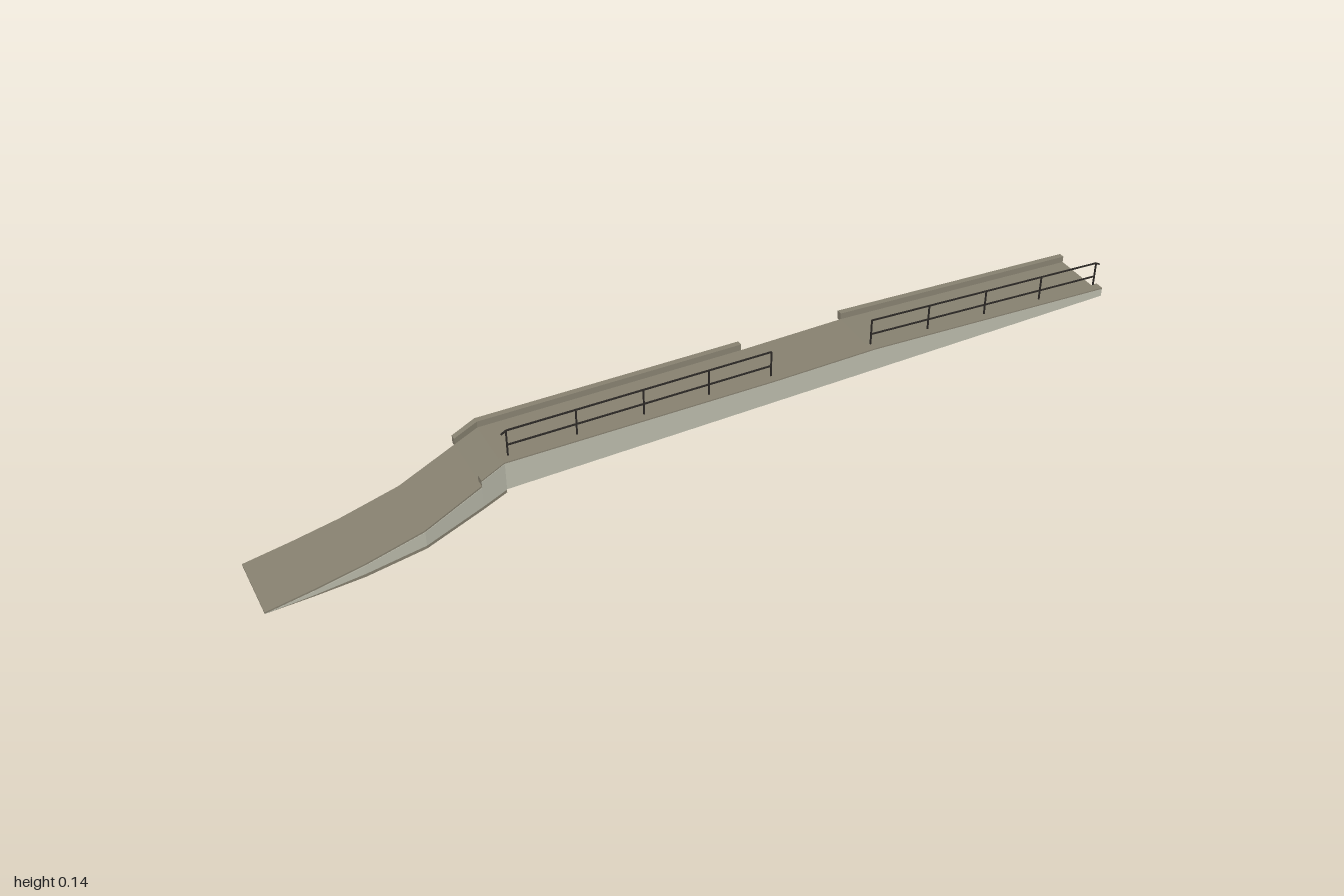
import * as THREE from 'three';

const concrete = new THREE.MeshStandardMaterial({ color: 0xb9b9aa, name: 'concrete' });
const paving = new THREE.MeshStandardMaterial({ color: 0x878170, name: 'paving' });
const metal = new THREE.MeshStandardMaterial({ color: 0x2b2825, name: 'darkMetal' });

// Solid strip running along x; each row is [x, zBack, zFront, yBottom, yTop]
function strip(name, rows, material) {
  const pos = [];
  const rings = rows.map(([x, z0, z1, y0, y1]) =>
    [[x, y0, z0], [x, y0, z1], [x, y1, z1], [x, y1, z0]]);
  const quad = (a, b, c, d) => pos.push(...a, ...b, ...c, ...a, ...c, ...d);
  for (let i = 0; i < rings.length - 1; i++) {
    const p = rings[i], q = rings[i + 1];
    for (let k = 0; k < 4; k++) {
      const n = (k + 1) % 4;
      quad(p[k], q[k], q[n], p[n]);
    }
  }
  const s = rings[0], e = rings[rings.length - 1];
  quad(s[0], s[1], s[2], s[3]);
  quad(e[0], e[3], e[2], e[1]);
  const geo = new THREE.BufferGeometry();
  geo.setAttribute('position', new THREE.Float32BufferAttribute(pos, 3));
  geo.computeVertexNormals();
  const mesh = new THREE.Mesh(geo, material);
  mesh.name = name;
  return mesh;
}

// Square bar between two points in the plane z = 0
function bar(name, x0, y0, x1, y1, t = 0.003) {
  const mesh = new THREE.Mesh(new THREE.BoxGeometry(Math.hypot(x1 - x0, y1 - y0), t, t), metal);
  mesh.position.set((x0 + x1) / 2, (y0 + y1) / 2, 0.001);
  mesh.rotation.z = Math.atan2(y1 - y0, x1 - x0);
  mesh.name = name;
  return mesh;
}

// Walkway profile: [x, deck height]
const main = [[-0.47, 0.062], [0.14, 0.05], [0.39, 0.05], [1, 0.015]];
const KERB = 0.015;

function deckAt(x) {
  for (let i = 0; i < main.length - 1; i++) {
    const [a, ya] = main[i], [b, yb] = main[i + 1];
    if (x <= b) return ya + (yb - ya) * (x - a) / (b - a);
  }
  return main[main.length - 1][1];
}

// Curved ramp: [x, back edge z, front edge z, underside y, deck y]
const ramp = [
  [-1, -0.007, 0.14, 0.008, 0.012],
  [-0.9, -0.014, 0.133, 0.004, 0.022],
  [-0.8, -0.024, 0.123, 0, 0.032],
  [-0.67, -0.046, 0.102, 0, 0.046],
  [-0.53, -0.1, 0.046, 0, 0.06],
  [-0.47, -0.127, 0.02, 0, 0.062],
];

function railing(name, xs, drop) {
  const g = new THREE.Group();
  g.name = name;
  const first = xs[0], last = xs[xs.length - 1];
  const top = x => drop[0] + (drop[1] - drop[0]) * (x - first) / (last - first);
  xs.forEach(x => g.add(bar('post', x, deckAt(x), x, top(x))));
  [0, 0.036].forEach(d =>
    g.add(bar('rail', first, top(first) - d, last, top(last) - d)));
  return g;
}

export function createModel() {
  const model = new THREE.Group();
  model.name = 'accessRamp';

  // Curved approach with its front facing
  model.add(strip('curvedRamp', ramp, paving));
  model.add(strip('curvedFacing', ramp.map(([x, , z, , y]) =>
    [x, z - 0.003, z + (x > -1 ? 0.001 : 0), 0.008, Math.max(0.0085, y - 0.004)]), concrete));

  // Straight deck, open underneath
  model.add(strip('deck', main.map(([x, y]) => [x, -0.127, 0, y - 0.005, y]), paving));
  model.add(strip('endWall',
    [[-0.47, -0.127, 0, 0.008, 0.057], [-0.466, -0.127, 0, 0.008, 0.057]], concrete));

  // Front wall, rising above the deck as a kerb with a paved cap
  model.add(strip('frontWall', main.map(([x, y]) =>
    [x, 0, 0.02, 0.008, y + KERB - 0.003]), concrete));
  const frontCap = main.map(([x, y]) => [x, 0, 0.02, y + KERB - 0.003, y + KERB]);
  model.add(strip('frontCap', frontCap, paving));

  // Kerbs turning onto the ramp
  model.add(strip('frontKerbEnd',
    [[-0.53, 0.028, 0.047, 0.056, 0.074], [-0.47, 0, 0.02, 0.057, 0.077]], paving));
  model.add(strip('frontKerbFacing',
    [[-0.53, 0.044, 0.048, 0.056, 0.071], [-0.47, 0.017, 0.021, 0.057, 0.074]], concrete));

  // Back kerb, interrupted at the landing
  const backRow = x => [x, -0.14, -0.127, deckAt(x) - 0.005, deckAt(x) + KERB];
  model.add(strip('backKerbUpper',
    [[-0.53, -0.113, -0.1, 0.055, 0.074], backRow(-0.47), backRow(0.14)], paving));
  model.add(strip('backKerbLower', [backRow(0.39), backRow(1)], paving));

  // Handrails on the front kerb
  model.add(railing('upperRailing', [-0.455, -0.305, -0.155, -0.005, 0.142], [0.139, 0.127]));
  model.add(railing('lowerRailing', [0.388, 0.535, 0.685, 0.835, 0.988], [0.127, 0.09]));
  // Short turned-out rail tips
  model.add(bar('railTip', -0.466, 0.132, -0.455, 0.139));
  model.add(bar('railTip', 0.988, 0.09, 0.998, 0.084));

  return model;
}
